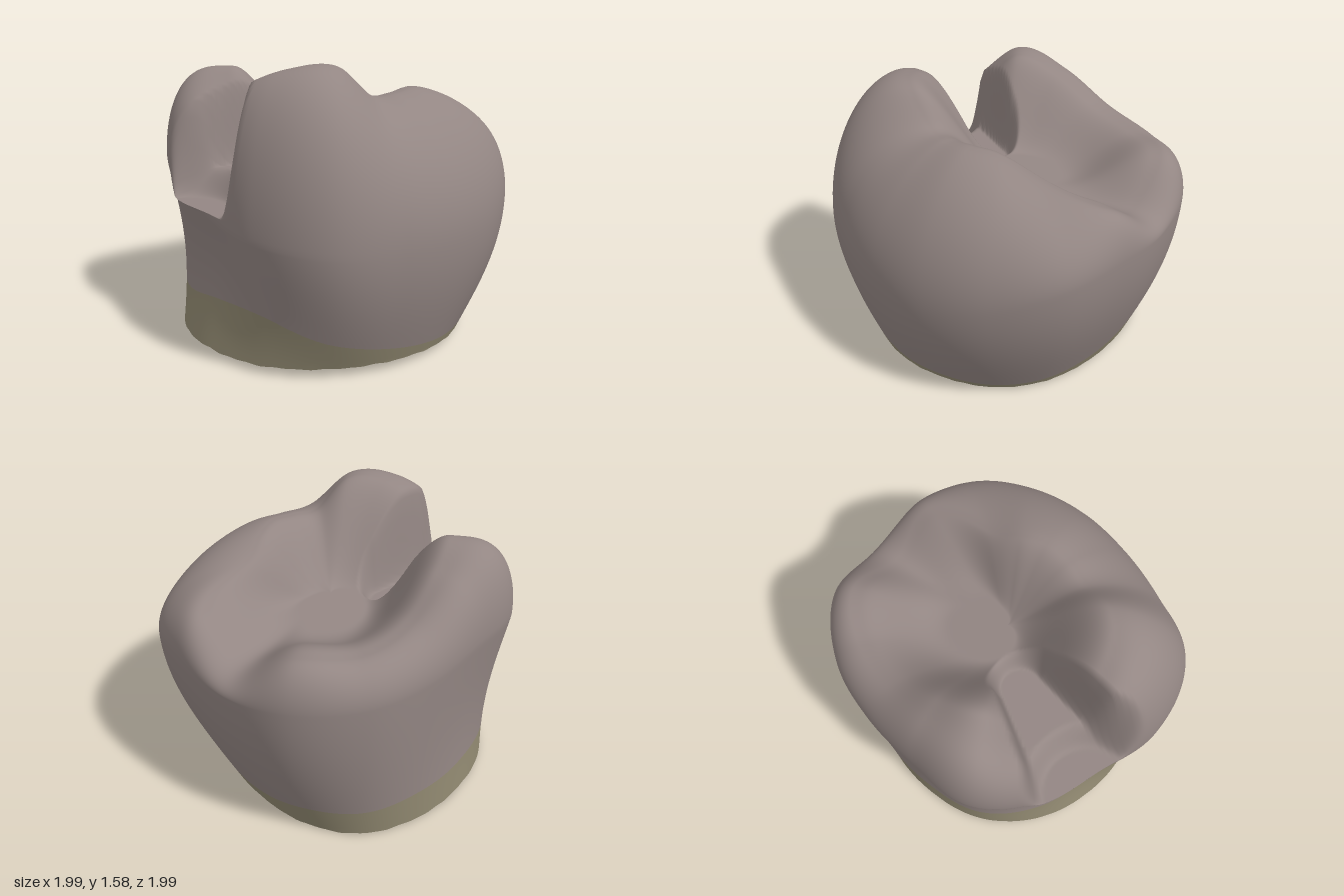
import * as THREE from 'three';

const SEGMENTS = 256;
const { lerp, smoothstep, clamp } = THREE.MathUtils;

// Periodic Catmull-Rom through values spaced evenly around the tooth,
// starting at +x and turning towards the front (+z)
function around(values) {
  const n = values.length;
  return (angle) => {
    const s = (angle / (2 * Math.PI)) * n;
    const i = Math.floor(s);
    const t = s - i;
    const [a, b, c, d] = [-1, 0, 1, 2].map((k) => values[(i + k + n) % n]);
    return b + 0.5 * t * (c - a + t * (2 * a - 5 * b + 4 * c - d + t * (3 * (b - c) + d - a)));
  };
}

const baseRadius = around([0.7, 0.72, 0.74, 0.78, 0.82, 0.87, 0.925, 0.945, 0.965, 0.96, 0.92, 0.9, 0.88, 0.8, 0.72, 0.69]);
const bulgeRadius = around([0.995, 0.965, 0.935, 0.925, 0.965, 1.055, 1.02, 0.94, 0.985, 1.03, 0.935, 0.93, 0.985, 1.02, 0.96, 0.96]);
const bulgeHeight = around([0.92, 0.8, 0.72, 0.7, 0.7, 0.72, 0.75, 0.8, 0.9, 1.05, 1.05, 1.0, 0.98, 0.98, 0.93, 0.97]);
const crestRadius = around([0.5, 0.43, 0.43, 0.43, 0.45, 0.56, 0.64, 0.68, 0.7, 0.7, 0.7, 0.74, 0.82, 0.87, 0.78, 0.8]);
const crestHeight = around([1.31, 1.39, 1.41, 1.395, 1.4, 1.56, 1.55, 1.44, 1.3, 1.5, 1.41, 1.25, 1.19, 1.21, 1.03, 1.21]);
// Shoulder fullness: below 1 is boxier, above 1 is leaner
const shoulder = around([1.1, 1.2, 1.3, 1.35, 1.15, 1, 0.9, 0.7, 0.7, 0.7, 0.8, 1, 1, 1, 1, 0.9]);
const rootHeight = around([0.07, 0.07, 0.08, 0.09, 0.13, 0.21, 0.34, 0.32, 0.27, 0.25, 0.22, 0.22, 0.2, 0.2, 0.13, 0.09]);

// Tilted base plane with a slightly ragged edge
const baseY = (a, r) => 0.025 + 0.027 * Math.sin(a) * r;
const edgeY = (a) => baseY(a, baseRadius(a)) + 0.002 * (Math.sin(23 * a) + Math.sin(41 * a + 1));

// Outer wall below the widest line, pinched at the neck on the -x side
function wallRadius(a, y) {
  const y0 = baseY(a, baseRadius(a));
  const s = clamp((y - y0) / (bulgeHeight(a) - y0), 0, 1);
  const pinch = 0.06 * Math.sin(Math.PI * s) * Math.max(0, -Math.cos(a)) ** 2;
  return lerp(baseRadius(a), bulgeRadius(a), Math.sin((s * Math.PI) / 2)) - pinch;
}

// Stepped cavity opening through the -x wall
function carve(x, y, z) {
  const ax = -1, az = 0.26, dx = 0.64, dz = -0.25;
  const t = clamp(((x - ax) * dx + (z - az) * dz) / (dx * dx + dz * dz), 0, 1);
  const upper = Math.hypot(x - ax - t * dx, z - az - t * dz) - lerp(0.31, 0.17, t);
  const lower = Math.hypot(x + 1, z - 0.27) - 0.37;
  y = lerp(y, Math.min(y, 0.96), 1 - smoothstep(upper, -0.05, 0.025));
  return lerp(y, Math.min(y, 0.81), 1 - smoothstep(lower, -0.1, 0.03));
}

// Closed rings of points joined into a skin; point(angle, v) gives [radius, y]
function skin(name, color, rows, point, shape = (x, y, z) => y) {
  const positions = [];
  const index = [];
  for (let j = 0; j <= rows; j++) {
    for (let i = 0; i < SEGMENTS; i++) {
      const a = (i / SEGMENTS) * 2 * Math.PI;
      const [r, y] = point(a, j / rows);
      const x = r * Math.cos(a);
      const z = r * Math.sin(a);
      positions.push(x, shape(x, y, z), z);
      if (j < rows) {
        const p = j * SEGMENTS + i;
        const q = j * SEGMENTS + ((i + 1) % SEGMENTS);
        index.push(p, p + SEGMENTS, q, q, p + SEGMENTS, q + SEGMENTS);
      }
    }
  }
  const geometry = new THREE.BufferGeometry();
  geometry.setAttribute('position', new THREE.Float32BufferAttribute(positions, 3));
  geometry.setIndex(index);
  geometry.computeVertexNormals();
  const mesh = new THREE.Mesh(geometry, new THREE.MeshStandardMaterial({ color }));
  mesh.name = name;
  return mesh;
}

// Crown profile: wall, rounded shoulder up to the cusps, then down into the fossa
function crownPoint(a, v) {
  const yb = bulgeHeight(a);
  const yc = crestHeight(a);
  const rc = crestRadius(a);
  if (v < 0.25) {
    const y = lerp(rootHeight(a), yb, v / 0.25);
    return [wallRadius(a, y), y];
  }
  if (v < 0.55) {
    const t = ((v - 0.25) / 0.3) * (Math.PI / 2);
    const out = Math.max(0, Math.cos(t)) ** shoulder(a);
    return [lerp(rc, bulgeRadius(a), out), lerp(yb, yc, Math.sin(t))];
  }
  // The fossa floor sinks towards the back, where its far wall is steeper
  const k = 1 - (v - 0.55) / 0.45;
  const floor = 1.06 + 0.12 * rc * k * Math.sin(a);
  return [rc * k, lerp(floor, yc, smoothstep(k, 0.2 - 0.2 * Math.sin(a), 0.93))];
}

export function createModel() {
  const tooth = new THREE.Group();
  tooth.name = 'molar';
  tooth.add(
    skin('crown', 0x938683, 110, crownPoint, carve),
    skin('rootBand', 0x918971, 8, (a, v) => {
      const y = lerp(edgeY(a), rootHeight(a), v);
      return [wallRadius(a, y), y];
    }),
    skin('underside', 0x918971, 12, (a, v) => {
      const r = baseRadius(a) * v;
      return [r, v < 1 ? baseY(a, r) : edgeY(a)];
    }),
  );
  return tooth;
}
